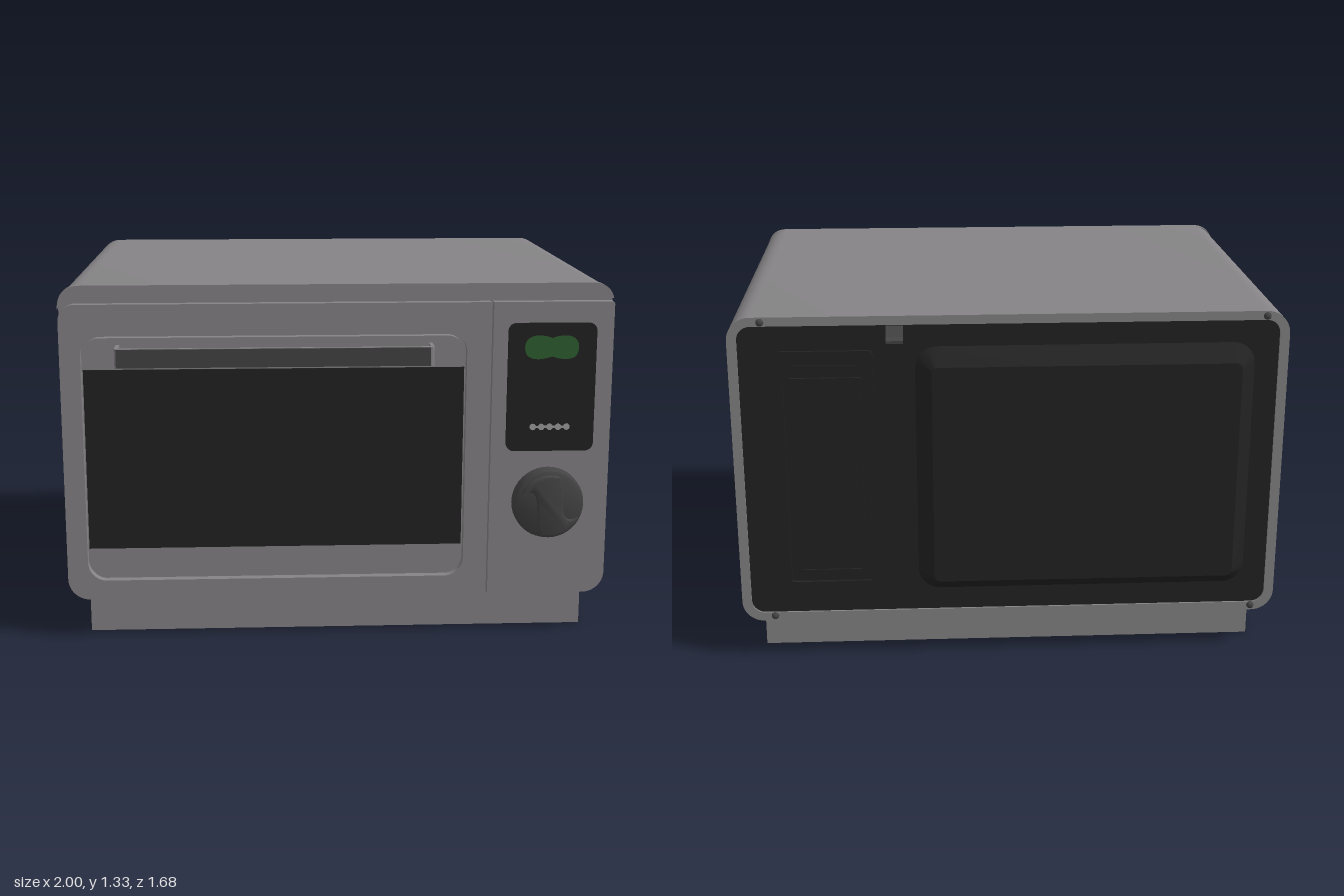
import * as THREE from 'three';
import { toCreasedNormals } from 'three/addons/utils/BufferGeometryUtils.js';

const mat = (name, color, side = THREE.FrontSide) => {
  const m = new THREE.MeshStandardMaterial({ color, side });
  m.name = name;
  return m;
};

// Rectangle with corner radii [bottom left, bottom right, top right, top left]
function roundRect(x0, y0, x1, y1, r, Type = THREE.Shape) {
  const [a, b, c, d] = Array.isArray(r) ? r : [r, r, r, r];
  const s = new Type();
  s.moveTo(x0 + a, y0);
  s.lineTo(x1 - b, y0);
  if (b) s.absarc(x1 - b, y0 + b, b, -Math.PI / 2, 0);
  s.lineTo(x1, y1 - c);
  if (c) s.absarc(x1 - c, y1 - c, c, 0, Math.PI / 2);
  s.lineTo(x0 + d, y1);
  if (d) s.absarc(x0 + d, y1 - d, d, Math.PI / 2, Math.PI);
  s.lineTo(x0, y0 + a);
  if (a) s.absarc(x0 + a, y0 + a, a, Math.PI, Math.PI * 1.5);
  return s;
}

export function createModel() {
  const group = new THREE.Group();
  group.name = 'countertopOven';
  const grey = mat('bodyGrey', 0x858385);
  const black = mat('glossBlack', 0x222222);
  const dark = mat('darkGrey', 0x434343);
  const green = mat('displayGreen', 0x2f5f31);
  const light = mat('buttonGrey', 0xa09e9e);

  const add = (name, geometry, material, x = 0, y = 0, z = 0) => {
    const m = new THREE.Mesh(geometry, material);
    m.name = name;
    m.position.set(x, y, z);
    group.add(m);
    return m;
  };
  // Flat outline extruded between two z values
  const slab = (name, shape, z0, z1, material) => {
    const g = new THREE.ExtrudeGeometry(shape, { depth: z1 - z0, bevelEnabled: false, curveSegments: 10 });
    return add(name, toCreasedNormals(g, 0.6), material, 0, 0, z0);
  };
  const box = (name, x0, x1, y0, y1, z0, z1, material) =>
    add(name, new THREE.BoxGeometry(x1 - x0, y1 - y0, z1 - z0), material,
      (x0 + x1) / 2, (y0 + y1) / 2, (z0 + z1) / 2);

  // Housing and plinth
  const corners = [0.08, 0.08, 0.085, 0.085];
  slab('housing', roundRect(-1, 0.152, 1, 1.325, corners), -0.75, 0.72, grey);
  const rim = roundRect(-1, 0.152, 1, 1.325, corners);
  rim.holes.push(roundRect(-0.965, 0.185, 0.965, 1.292, 0.05, THREE.Path));
  slab('rearRim', rim, -0.775, -0.75, grey);
  box('plinth', -0.93, 0.93, 0, 0.155, -0.665, 0.675, grey);

  // Hood lip over the front
  const hood = new THREE.Shape();
  hood.moveTo(-1, 1.24);
  hood.quadraticCurveTo(-0.99, 1.268, -0.93, 1.268);
  hood.lineTo(0.995, 1.268);
  hood.quadraticCurveTo(0.98, 1.325, 0.915, 1.325);
  hood.lineTo(-0.915, 1.325);
  hood.quadraticCurveTo(-1, 1.325, -1, 1.24);
  slab('hoodLip', hood, 0.72, 0.758, grey);

  // Door: outer frame, grooved inner panel, window
  const door = roundRect(-1, 0.152, 0.551, 1.256, [0.08, 0, 0, 0.06]);
  door.holes.push(roundRect(-0.925, 0.225, 0.467, 1.145, 0.07, THREE.Path));
  slab('doorFrame', door, 0.72, 0.755, grey);
  slab('doorPanel', roundRect(-0.915, 0.235, 0.457, 1.135, 0.06), 0.72, 0.752, grey);
  box('doorWindow', -0.917, 0.457, 0.35, 1.02, 0.748, 0.756, black);

  // Handle: bent strip with a dark face
  const strip = new THREE.Shape();
  strip.moveTo(-0.797, -0.74);
  strip.lineTo(-0.797, -0.825);
  strip.quadraticCurveTo(-0.797, -0.838, -0.784, -0.838);
  strip.lineTo(0.327, -0.838);
  strip.quadraticCurveTo(0.34, -0.838, 0.34, -0.825);
  strip.lineTo(0.34, -0.74);
  strip.lineTo(0.327, -0.74);
  strip.lineTo(0.327, -0.826);
  strip.lineTo(-0.784, -0.826);
  strip.lineTo(-0.784, -0.74);
  const handleGeo = new THREE.ExtrudeGeometry(strip, { depth: 0.07, bevelEnabled: false, curveSegments: 6 });
  handleGeo.rotateX(-Math.PI / 2).scale(1, 1, 1);
  add('handle', toCreasedNormals(handleGeo, 0.6), grey, 0, 1.04, 0);
  box('handleFace', -0.79, 0.325, 1.042, 1.108, 0.836, 0.842, dark);

  // Control panel with display and buttons
  slab('controlPanel', roundRect(0.561, 0.152, 1, 1.256, [0, 0.08, 0.01, 0]), 0.72, 0.755, grey);
  slab('displayPlate', roundRect(0.615, 0.705, 0.937, 1.18, 0.03), 0.75, 0.765, black);
  const glow = new THREE.Shape();
  glow.moveTo(0.675, 1.09);
  glow.bezierCurveTo(0.675, 1.145, 0.74, 1.14, 0.775, 1.125);
  glow.bezierCurveTo(0.81, 1.14, 0.872, 1.145, 0.872, 1.09);
  glow.bezierCurveTo(0.872, 1.035, 0.81, 1.045, 0.775, 1.058);
  glow.bezierCurveTo(0.74, 1.045, 0.675, 1.035, 0.675, 1.09);
  slab('displayDigits', glow, 0.764, 0.767, green);
  for (let i = 0; i < 5; i++) {
    const b = new THREE.CylinderGeometry(0.012, 0.012, 0.006, 12).rotateX(Math.PI / 2);
    add('button' + (i + 1), b, light, 0.712 + i * 0.031, 0.796, 0.766);
  }
  box('buttonBar', 0.70, 0.848, 0.792, 0.8, 0.763, 0.767, light);

  // Rotary knob with an S-shaped raised grip
  const profile = [[0.132, 0], [0.132, 0.03], [0.126, 0.052], [0.11, 0.062], [0, 0.062]]
    .map(([r, h]) => new THREE.Vector2(r, h));
  const knobGeo = new THREE.LatheGeometry(profile, 40).rotateX(Math.PI / 2);
  add('knob', toCreasedNormals(knobGeo, 0.6), dark, 0.775, 0.51, 0.75);
  const R = 0.114;
  const at = (a) => [R * Math.cos(a), R * Math.sin(a)];
  const grip = new THREE.Shape();
  grip.moveTo(...at(2.73));
  grip.bezierCurveTo(-0.02, 0.09, -0.06, -0.05, ...at(-1.85));
  grip.absarc(0, 0, R, -1.85, -0.41);
  grip.bezierCurveTo(0.02, -0.09, 0.06, 0.05, ...at(1.29));
  grip.absarc(0, 0, R, 1.29, 2.73);
  const gripGeo = new THREE.ExtrudeGeometry(grip, {
    depth: 0.022, bevelThickness: 0.008, bevelSize: 0.008, bevelOffset: -0.008, bevelSegments: 2, curveSegments: 14 });
  add('knobGrip', toCreasedNormals(gripGeo, 0.6), dark, 0.775, 0.51, 0.804);

  // Rear panel and tapered cavity bulge
  slab('rearPanel', roundRect(-0.965, 0.185, 0.965, 1.292, 0.05), -0.768, -0.745, black);
  const bulge = new THREE.ExtrudeGeometry(roundRect(-0.88, 0.27, 0.34, 1.21, 0.08), {
    depth: 0.02, bevelThickness: 0.073, bevelSize: 0.058, bevelOffset: -0.058, bevelSegments: 1, curveSegments: 6 });
  add('rearBulge', toCreasedNormals(bulge, 0.5), black, 0, 0, -0.768);

  // Service cover with frame and vent slots
  const cover = roundRect(0.49, 0.29, 0.83, 1.2, 0.015);
  cover.holes.push(roundRect(0.51, 0.31, 0.81, 1.18, 0.01, THREE.Path));
  slab('coverFrame', cover, -0.78, -0.765, black);
  box('coverPlate', 0.535, 0.785, 0.39, 1.1, -0.777, -0.765, black);
  for (const y of [0.35, 1.14]) box('coverSlot', 0.55, 0.77, y - 0.006, y + 0.006, -0.774, -0.765, black);

  // Cord bracket
  const wedge = new THREE.Shape();
  wedge.moveTo(0.75, 1.24);
  wedge.lineTo(0.835, 1.24);
  wedge.lineTo(0.835, 1.25);
  wedge.lineTo(0.8, 1.255);
  wedge.lineTo(0.77, 1.288);
  wedge.lineTo(0.75, 1.288);
  const wedgeGeo = new THREE.ExtrudeGeometry(wedge, { depth: 0.06, bevelEnabled: false });
  add('cordBracket', wedgeGeo.rotateY(Math.PI / 2), dark, 0.38, 0, 0);

  // Rear screws
  for (const x of [-0.915, 0.88]) for (const y of [0.172, 1.307]) {
    const s = new THREE.SphereGeometry(0.014, 12, 8);
    add('rearScrew', s, dark, x, y, -0.775);
  }
  return group;
}
